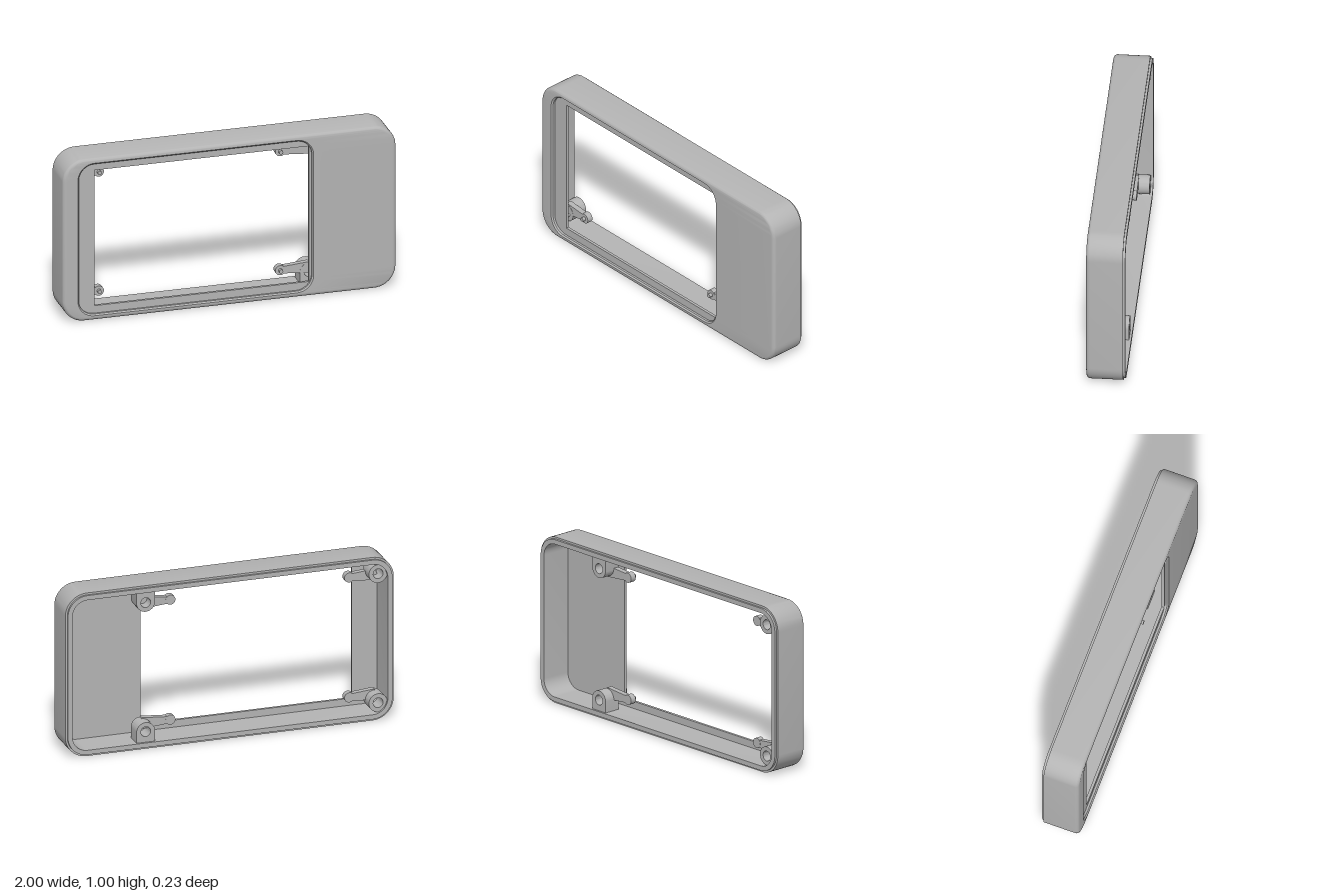
import * as THREE from 'three';
import { toCreasedNormals } from 'three/addons/utils/BufferGeometryUtils.js';

const H = 1.005, MID = H / 2, BACK = -0.1, FRONT = 0.113;

// Rounded rectangle loop, counter-clockwise from the front, at depth z
function loop(x0, x1, y0, y1, r, z, n = 12) {
  const pts = [];
  const corners = [[x1 - r, y1 - r], [x0 + r, y1 - r], [x0 + r, y0 + r], [x1 - r, y0 + r]];
  corners.forEach(([cx, cy], k) => {
    for (let i = 0; i <= n; i++) {
      const a = (k + i / n) * Math.PI / 2;
      pts.push(new THREE.Vector3(cx + r * Math.cos(a), cy + r * Math.sin(a), z));
    }
  });
  return pts;
}
const outer = (inset, z) => loop(-1 + inset, 1 - inset, inset, H - inset, 0.13 - inset, z);
const recess = (inset, z) => loop(-0.912 + inset, 0.504 - inset, 0.029 + inset, 0.976 - inset, 0.1 - inset, z);
const opening = z => loop(-0.805, 0.482, 0.083, 0.924, 0, z);

// Skin consecutive loops, leaving out empty triangles
function skin(loops) {
  const pos = [];
  const tri = (a, b, c) => {
    const area = b.clone().sub(a).cross(c.clone().sub(a)).length();
    if (area > 1e-9) [a, b, c].forEach(p => pos.push(p.x, p.y, p.z));
  };
  for (let i = 0; i < loops.length - 1; i++) {
    const p = loops[i], q = loops[i + 1], n = p.length;
    for (let j = 0; j < n; j++) {
      const k = (j + 1) % n;
      tri(p[j], p[k], q[k]);
      tri(p[j], q[k], q[j]);
    }
  }
  const g = new THREE.BufferGeometry();
  g.setAttribute('position', new THREE.Float32BufferAttribute(pos, 3));
  return toCreasedNormals(g, 0.5);
}

function extrude(shape, z, depth) {
  const g = new THREE.ExtrudeGeometry(shape, { depth, bevelEnabled: false, curveSegments: 20 });
  g.translate(0, 0, z);
  return toCreasedNormals(g, 0.5);
}

export function createModel() {
  const model = new THREE.Group();
  const grey = new THREE.MeshStandardMaterial({ color: 0xb4b4b4 });
  grey.name = 'grey plastic';
  const add = (name, geometry, parent = model) => {
    const mesh = new THREE.Mesh(geometry, grey);
    mesh.name = name;
    parent.add(mesh);
    return mesh;
  };

  // Bezel shell: outer wall, rounded front edge, recess, window, inner wall, rear lip
  const R = 0.023, edge = [];
  for (let i = 0; i <= 6; i++) {
    const a = i / 6 * Math.PI / 2;
    edge.push(outer(R * (1 - Math.cos(a)), FRONT - R + R * Math.sin(a)));
  }
  add('bezelShell', skin([
    outer(0.012, -FRONT), outer(0.012, BACK), outer(0, BACK), ...edge,
    recess(0, FRONT), recess(0.008, FRONT - 0.008), recess(0.008, 0.092),
    opening(0.092), opening(0.075),
    outer(0.04, 0.075), outer(0.04, -FRONT), outer(0.012, -FRONT),
  ]));

  // Four screw bosses, each with a retaining arm reaching into the window
  for (const up of [1, -1]) {
    for (const left of [true, false]) {
      const Y = y => MID + up * (y - MID);
      const bx = left ? 0.51 : -0.905, by = 0.9, r = 0.056;
      const tx = left ? 0.337 : -0.752, ty = 0.872;
      const dir = Math.sign(bx - tx);
      const mount = new THREE.Group();
      mount.name = 'screwMount';
      model.add(mount);

      // Boss with a screw hole; the middle ones have a web to the wall
      const boss = new THREE.Shape();
      if (left) {
        boss.moveTo(bx + r, Y(0.97));
        boss.lineTo(bx + r, Y(by));
        boss.absarc(bx, Y(by), r, 0, up > 0 ? -Math.PI : Math.PI, up > 0);
        boss.lineTo(bx - r, Y(0.97));
        boss.closePath();
      } else boss.absarc(bx, Y(by), r, 0, Math.PI * 2);
      const hole = new THREE.Path();
      hole.absarc(bx, Y(by), 0.03, 0, Math.PI * 2);
      boss.holes.push(hole);
      add('screwBoss', extrude(boss, BACK, 0.1), mount);

      // Tapered arm
      const arm = new THREE.Shape([
        [tx, ty - 0.02], [bx, ty - 0.034], [bx + dir * 0.02, ty], [bx, ty + 0.034], [tx, ty + 0.02],
      ].map(([x, y]) => new THREE.Vector2(x, Y(y))));
      add('retainingArm', extrude(arm, -0.035, 0.034), mount);

      // Round pad and its pin
      const disc = (name, radius, z, depth) => {
        const g = new THREE.CylinderGeometry(radius, radius, depth, 24);
        g.rotateX(Math.PI / 2);
        add(name, g, mount).position.set(tx, Y(ty), z + depth / 2);
      };
      disc('armPad', 0.03, -0.036, 0.036);
      disc('locatingPin', 0.012, -0.005, 0.025);
    }
  }
  return model;
}
